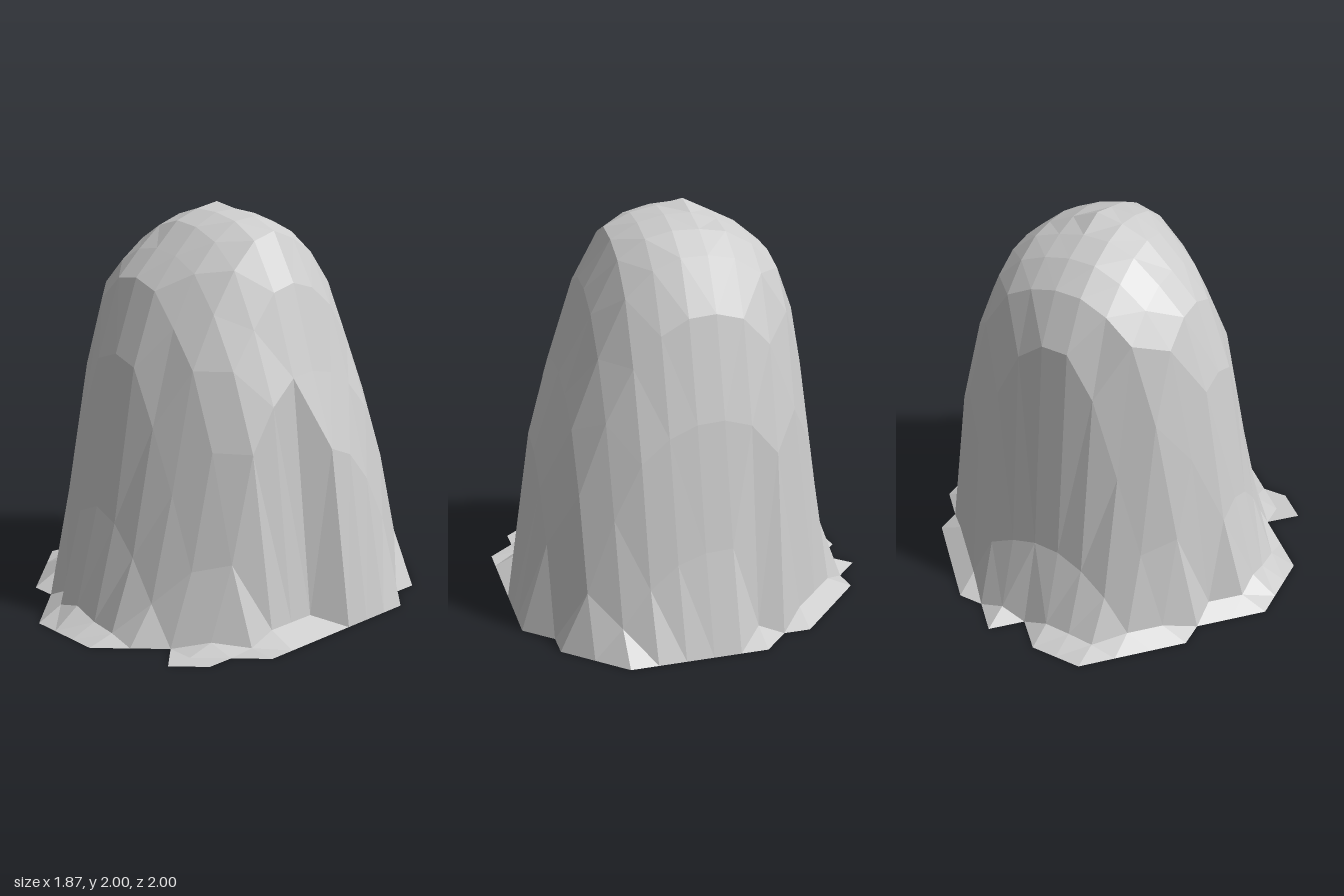
import * as THREE from 'three';

const STEP = 2 / 15, COLS = 15, ROWS = 16;
const SKIRT = 0.06;

// Footprint: first and last column (counted from the middle) of each row, back to front
const FOOTPRINT = [
  [-1, 4], [-3, 5], [-4, 6], [-5, 6], [-6, 7], [-6, 7], [-7, 7], [-6, 7],
  [-7, 7], [-7, 7], [-7, 7], [-6, 7], [-5, 6], [-4, 6], [-2, 3], [-1, 2],
];

// Contours of the mound: height, then reach to -x, +x, -z, +z
const CONTOURS = [
  [2.0, 0.01, 0.01, 0.07, 0.01],
  [1.97, 0.08, 0.16, 0.15, 0.09],
  [1.94, 0.14, 0.27, 0.22, 0.18],
  [1.88, 0.27, 0.40, 0.35, 0.25],
  [1.78, 0.40, 0.46, 0.47, 0.35],
  [1.65, 0.50, 0.53, 0.55, 0.48],
  [1.53, 0.54, 0.57, 0.60, 0.53],
  [1.25, 0.57, 0.66, 0.69, 0.62],
  [0.87, 0.61, 0.80, 0.78, 0.67],
  [0.42, 0.67, 0.86, 0.88, 0.77],
  [0.15, 0.75, 0.91, 0.95, 0.85],
  [0.05, 0.80, 0.92, 0.98, 0.88],
  [0.0, 0.94, 0.94, 1.01, 1.01],
];

const inside = (i, j) => {
  if (j < 0 || j >= ROWS) return false;
  if (i === 5 && j === 14) return true; // small spur at the front left
  return i >= FOOTPRINT[j][0] && i <= FOOTPRINT[j][1];
};

const neighbours = (i, j) => [[i - 1, j], [i + 1, j], [i, j - 1], [i, j + 1]];
const onRim = (i, j) => neighbours(i, j).some(([a, b]) => !inside(a, b));

// How full each corner of the mound is: 2 is an ellipse, less is flatter
function fullness(x, z, y) {
  if (x < 0) return z < 0 ? 2.4 : 2.1;
  if (z < 0) return 2.75;
  return y > 1.4 ? 1.65 : 1.85;
}

// Height where the point lies exactly on an interpolated contour
function moundHeight(x, z) {
  let previous = null;
  for (const [y, left, right, back, front] of CONTOURS) {
    const n = fullness(x, z, y);
    const u = Math.abs(x) / (x < 0 ? left : right);
    const v = Math.abs(z) / (z < 0 ? back : front);
    const s = (u ** n + v ** n) ** (1 / n);
    if (s <= 1) {
      if (!previous) return y;
      const t = (previous.s - 1) / (previous.s - s);
      return previous.y + (y - previous.y) * t;
    }
    previous = { y, s };
  }
  return 0;
}

function gridPoint(i, j) {
  const x = i * STEP, z = -1 + j * STEP;
  if (onRim(i, j)) return [x, 0, z];
  const y = moundHeight(x, z);
  // The wall ends in a thin skirt along the right corners and the front of the left side
  const rimCount = neighbours(i, j).filter(([a, b]) => onRim(a, b)).length;
  const skirt = (i < 0 && rimCount > 1) || (i === 6 && z > 0);
  return [x, skirt ? Math.min(y, SKIRT) : y, z];
}

function meshFrom(name, triangles) {
  const geometry = new THREE.BufferGeometry();
  geometry.setAttribute('position', new THREE.Float32BufferAttribute(triangles.flat(2), 3));
  geometry.computeVertexNormals();
  const material = new THREE.MeshStandardMaterial({ color: 0xcccccc, flatShading: true });
  const mesh = new THREE.Mesh(geometry, material);
  mesh.name = name;
  return mesh;
}

export function createModel() {
  const top = [];
  const half = (COLS - 1) / 2;
  for (let j = 0; j < ROWS - 1; j++) {
    for (let i = -half; i < half; i++) {
      // Cell corners, counter-clockwise seen from above
      const corners = [[i, j], [i, j + 1], [i + 1, j + 1], [i + 1, j]];
      const used = corners.filter(([a, b]) => inside(a, b)).map(([a, b]) => gridPoint(a, b));
      if (used.length === 3) top.push(used);
      if (used.length === 4) {
        const [a, b, c, d] = used;
        // Split along the more level diagonal so edges follow the contours
        if (Math.abs(a[1] - c[1]) <= Math.abs(b[1] - d[1])) top.push([a, b, c], [a, c, d]);
        else top.push([a, b, d], [b, c, d]);
      }
    }
  }

  // Flat underside: the same triangles pressed to the ground and reversed
  const under = top.map(([a, b, c]) => [c, b, a].map(([x, , z]) => [x, 0, z]));

  const model = new THREE.Group();
  model.name = 'rockMound';
  model.add(meshFrom('moundSurface', top), meshFrom('underside', under));
  return model;
}
